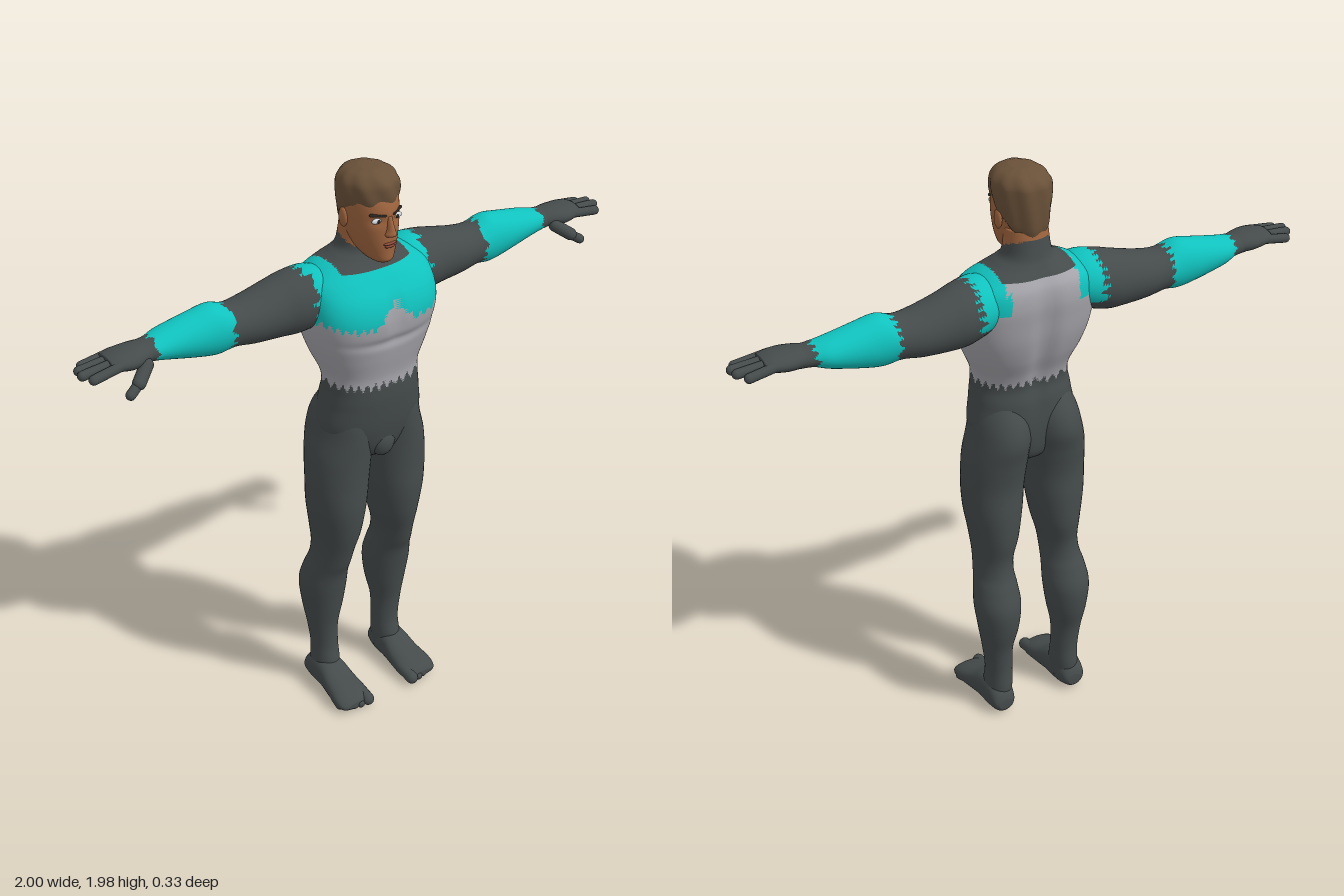
import * as THREE from 'three';

const mat = (name, color) => Object.assign(new THREE.MeshStandardMaterial({ color }), { name });
const suit = mat('charcoal suit', 0x454b4b);
const teal = mat('teal panel', 0x10c2be);
const grey = mat('light grey panel', 0xa3a3a9);
const skin = mat('skin', 0xa0653f);
const hair = mat('brown hair', 0x6a5139);
const white = mat('eye white', 0xd4dade);
const dark = mat('dark brow', 0x2a2420);
const lip = mat('lips', 0x8a4a38);

const AXES = { x: ['z', 'y'], y: ['x', 'z'], z: ['y', 'x'] };
const gauss = (v, w) => Math.exp(-(v * v) / (w * w));
const jag = (u) => Math.abs(u - Math.floor(u) - 0.5) * 2;

// Smooth skin through cross-sections [t, aMin, aMax, bMin, bMax, squareness] along an axis
function loft(axis, keys, { seg = 32, steps = 6, deform } = {}) {
  const [A, B] = AXES[axis], pos = [], idx = [];
  const key = (i) => keys[Math.max(0, Math.min(keys.length - 1, i))];
  const rings = (keys.length - 1) * steps + 1;
  const put = (t, a, b) => {
    const v = new THREE.Vector3();
    v[axis] = t; v[A] = a; v[B] = b;
    if (deform) deform(v);
    pos.push(v.x, v.y, v.z);
  };
  const ends = [];
  for (let r = 0; r < rings; r++) {
    const k = Math.min(keys.length - 2, Math.floor(r / steps)), f = r / steps - k;
    const at = (c, d = 0) => {
      const [p, q, s, u] = [key(k - 1), key(k), key(k + 1), key(k + 2)].map((e) => e[c] ?? d);
      return q + 0.5 * f * (s - p + f * (2 * p - 5 * q + 4 * s - u + f * (3 * (q - s) + u - p)));
    };
    const [t, a0, a1, b0, b1] = [0, 1, 2, 3, 4].map((c) => at(c)), e = 2 / at(5, 2);
    const pw = (v) => Math.sign(v) * Math.abs(v) ** e;
    for (let i = 0; i < seg; i++) {
      const th = (i / seg) * Math.PI * 2;
      put(t, (a0 + a1) / 2 + ((a1 - a0) / 2) * pw(Math.cos(th)), (b0 + b1) / 2 + ((b1 - b0) / 2) * pw(Math.sin(th)));
      if (r < rings - 1) {
        const p = r * seg + i, n = r * seg + ((i + 1) % seg);
        idx.push(p, p + seg, n, n, p + seg, n + seg);
      }
    }
    if (r === 0 || r === rings - 1) ends.push([t, (a0 + a1) / 2, (b0 + b1) / 2]);
  }
  ends.forEach((c) => put(...c));
  const c0 = rings * seg, last = c0 - seg;
  for (let i = 0; i < seg; i++) {
    const n = (i + 1) % seg;
    idx.push(c0, i, n, c0 + 1, last + n, last + i);
  }
  const g = new THREE.BufferGeometry();
  g.setAttribute('position', new THREE.Float32BufferAttribute(pos, 3));
  g.setIndex(idx);
  g.computeVertexNormals();
  return g;
}

// Sorts faces into material groups with a rule on the face centre
function paint(g, count, rule) {
  const p = g.attributes.position, old = g.index.array, sets = Array.from({ length: count }, () => []);
  for (let i = 0; i < old.length; i += 3) {
    const t = [old[i], old[i + 1], old[i + 2]];
    const mid = (f) => t.reduce((s, v) => s + p[f](v), 0) / 3;
    sets[rule(mid('getX'), mid('getY'), mid('getZ'))].push(...t);
  }
  g.setIndex(sets.flat());
  let start = 0;
  sets.forEach((s, i) => { g.addGroup(start, s.length, i); start += s.length; });
  return g;
}

// Rounded finger-like rod between two points
function rod(a, b, r) {
  const p = new THREE.Vector3(...a), q = new THREE.Vector3(...b), d = q.clone().sub(p);
  const g = new THREE.CapsuleGeometry(r, d.length(), 6, 14);
  g.applyQuaternion(new THREE.Quaternion().setFromUnitVectors(new THREE.Vector3(0, 1, 0), d.normalize()));
  return g.translate(...p.add(q).multiplyScalar(0.5).toArray());
}

const blob = (x, y, z, rx, ry, rz) => new THREE.SphereGeometry(1, 20, 14).scale(rx, ry, rz).translate(x, y, z);

function mirror(g) {
  const m = g.clone().scale(-1, 1, 1), ix = m.index.array;
  for (let i = 0; i < ix.length; i += 3) [ix[i], ix[i + 1]] = [ix[i + 1], ix[i]];
  return m;
}

export function createModel() {
  const model = new THREE.Group();
  model.name = 'standingMan';
  const add = (name, g, m) => {
    const mesh = new THREE.Mesh(g, m);
    mesh.name = name;
    model.add(mesh);
  };
  const pair = (name, g, m) => {
    add('left' + name, g, m);
    add('right' + name, mirror(g), m);
  };

  // Torso and neck, with spine groove, chest line and pectoral crease
  const torso = loft('y', [
    [0.97, -0.05, 0.05, -0.06, 0.06], [1.01, -0.12, 0.12, -0.1, 0.1],
    [1.1, -0.183, 0.183, -0.115, 0.124, 2.2], [1.2, -0.172, 0.172, -0.113, 0.137, 2.3],
    [1.26, -0.163, 0.163, -0.102, 0.139, 2.3], [1.31, -0.168, 0.168, -0.112, 0.137, 2.3],
    [1.38, -0.197, 0.197, -0.14, 0.148, 2.4], [1.45, -0.217, 0.217, -0.158, 0.158, 2.6],
    [1.52, -0.225, 0.225, -0.166, 0.162, 2.8], [1.58, -0.223, 0.223, -0.17, 0.145, 2.8],
    [1.63, -0.21, 0.21, -0.162, 0.11, 2.6], [1.665, -0.165, 0.165, -0.14, 0.08, 2.3],
    [1.69, -0.112, 0.112, -0.122, 0.062], [1.72, -0.079, 0.079, -0.108, 0.045], [1.8, -0.07, 0.07, -0.09, 0.035],
  ], {
    seg: 112, steps: 10,
    deform: (v) => {
      const { x, y } = v;
      if (v.z < 0) v.z += 0.02 * gauss(x, 0.035) * gauss(y - 1.42, 0.22);
      else {
        v.z -= 0.012 * gauss(x, 0.02) * gauss(y - 1.53, 0.07);
        v.z -= 0.008 * gauss(y - 1.44 - 0.3 * x * x, 0.015) * gauss(x, 0.15);
      }
    },
  });
  add('torso', paint(torso, 4, (x, y, z) => {
    const w = Math.abs(x), tooth = jag((x + z * 0.7) * 32);
    if (y > 1.735 - 0.4 * z) return 3;
    if (y < 1.265 + 0.03 * tooth) return 0;
    if (y > 1.662 && w < 0.13) return 0;
    const edge = w < 0.07 ? 1.585 - w : 1.515 + 0.3 * Math.max(0, w - 0.14);
    if (z > -0.03 && y > edge - 0.025 * tooth - Math.min(0, z) * 1.5) return 1;
    if (w > 0.115 + 0.02 * tooth && y > 1.57) return 1;
    return 2;
  }), [suit, teal, grey, skin]);
  add('groin', blob(0, 1.04, 0.088, 0.045, 0.055, 0.035), suit);

  // Arms with teal shoulder edge and forearm
  const arm = loft('x', [
    [0.1, -0.12, 0.05, 1.52, 1.645], [0.18, -0.15, 0.06, 1.485, 1.672], [0.25, -0.159, 0.048, 1.466, 1.666],
    [0.31, -0.155, 0.03, 1.465, 1.652], [0.4, -0.149, 0.018, 1.471, 1.63], [0.47, -0.14, 0.008, 1.481, 1.623],
    [0.53, -0.136, 0.004, 1.473, 1.641], [0.6, -0.135, 0, 1.486, 1.63], [0.7, -0.128, -0.008, 1.513, 1.61],
    [0.75, -0.11, -0.01, 1.528, 1.6], [0.8, -0.105, -0.012, 1.533, 1.597],
  ], { seg: 48, steps: 8 });
  pair('Arm', paint(arm, 2, (x, y, z) => {
    const tooth = jag((y + z) * 28);
    if (x > 0.475 + 0.025 * tooth && x < 0.735 + 0.02 * tooth) return 1;
    return x < 0.2 + 0.035 * tooth && y > 1.53 ? 1 : 0;
  }), [suit, teal]);

  // Hands
  pair('Palm', loft('x', [
    [0.75, -0.1, -0.015, 1.535, 1.595], [0.79, -0.108, 0, 1.534, 1.6], [0.83, -0.112, 0.012, 1.534, 1.6],
    [0.87, -0.11, 0.01, 1.542, 1.597], [0.9, -0.1, 0, 1.55, 1.59],
  ], { seg: 24 }), suit);
  const tips = [0.955, 0.98, 0.985, 0.965];
  tips.forEach((tip, i) => {
    const z = -0.093 + i * 0.029;
    pair('Finger' + (i + 1), rod([0.86, 1.572, z], [tip, 1.566 - Math.abs(i - 1.5) * 0.006, z * 1.08 + 0.004], 0.0155), suit);
  });
  pair('Thumb', rod([0.79, 1.548, -0.005], [0.835, 1.515, 0.025], 0.021), suit);
  pair('ThumbTip', rod([0.83, 1.517, 0.022], [0.87, 1.491, 0.034], 0.016), suit);

  // Legs
  pair('Leg', loft('y', [
    [0.04, 0.09, 0.184, -0.125, -0.01], [0.1, 0.086, 0.18, -0.128, -0.005], [0.17, 0.086, 0.179, -0.124, -0.018],
    [0.26, 0.084, 0.19, -0.132, -0.014], [0.35, 0.066, 0.204, -0.154, 0.002], [0.44, 0.056, 0.214, -0.16, 0.018],
    [0.51, 0.06, 0.205, -0.138, 0.032], [0.56, 0.064, 0.194, -0.118, 0.052], [0.62, 0.06, 0.19, -0.112, 0.07],
    [0.7, 0.04, 0.198, -0.124, 0.092], [0.8, 0.022, 0.214, -0.125, 0.105], [0.9, 0.01, 0.22, -0.12, 0.106],
    [1.0, 0, 0.214, -0.134, 0.11], [1.08, -0.002, 0.194, -0.148, 0.114], [1.15, 0.004, 0.176, -0.13, 0.112],
    [1.22, 0.03, 0.145, -0.08, 0.09],
  ], { seg: 40 }), suit);

  // Feet
  pair('Foot', loft('z', [
    [-0.14, 0.02, 0.06, 0.115, 0.165], [-0.125, 0.006, 0.09, 0.1, 0.182], [-0.08, 0, 0.115, 0.09, 0.188, 2.5],
    [-0.02, 0, 0.114, 0.085, 0.192, 2.4], [0.04, 0, 0.084, 0.079, 0.2, 2.4], [0.1, 0, 0.063, 0.075, 0.208, 2.4],
    [0.135, 0.004, 0.048, 0.082, 0.202], [0.148, 0.015, 0.035, 0.1, 0.185],
  ], { seg: 32 }), suit);
  [0.097, 0.127, 0.15, 0.172, 0.192].forEach((x, i) => {
    const r = i ? 0.0155 : 0.022;
    pair('Toe' + (i + 1), rod([x, r + 0.015, 0.08], [x, r + 0.003, 0.143 - i * i * 0.0022], r), suit);
  });

  // Head with eye hollows and jaw
  add('head', loft('y', [
    [1.694, -0.026, 0.026, 0.05, 0.11], [1.704, -0.04, 0.04, 0.0, 0.12], [1.73, -0.057, 0.057, -0.05, 0.122],
    [1.765, -0.07, 0.07, -0.075, 0.124], [1.81, -0.079, 0.079, -0.085, 0.124], [1.86, -0.083, 0.083, -0.09, 0.122],
    [1.91, -0.08, 0.08, -0.085, 0.105], [1.955, -0.04, 0.04, -0.04, 0.06],
  ], {
    seg: 56,
    deform: (v) => { if (v.z > 0.06) v.z -= 0.008 * gauss(Math.abs(v.x) - 0.035, 0.022) * gauss(v.y - 1.838, 0.015); },
  }), skin);
  add('nose', loft('y', [
    [1.783, -0.012, 0.012, 0.1, 0.128], [1.793, -0.019, 0.019, 0.1, 0.146], [1.81, -0.013, 0.013, 0.1, 0.143],
    [1.85, -0.008, 0.008, 0.1, 0.127],
  ], { seg: 16 }), skin);
  add('upperLip', blob(0, 1.761, 0.122, 0.024, 0.005, 0.007), lip);
  add('lowerLip', blob(0, 1.752, 0.122, 0.019, 0.005, 0.007), lip);
  pair('Eye', blob(0.036, 1.839, 0.106, 0.021, 0.009, 0.007), white);
  pair('Iris', blob(0.035, 1.838, 0.111, 0.006, 0.006, 0.004), dark);
  pair('Brow', rod([0.015, 1.854, 0.117], [0.056, 1.859, 0.099], 0.005), dark);
  pair('Ear', blob(0.084, 1.825, -0.004, 0.01, 0.032, 0.02), skin);

  // Swept-up hair, lower at the nape
  add('hair', loft('y', [
    [1.872, -0.081, 0.081, -0.09, 0.104], [1.885, -0.088, 0.088, -0.098, 0.112], [1.915, -0.093, 0.093, -0.102, 0.114],
    [1.945, -0.088, 0.088, -0.095, 0.11], [1.968, -0.066, 0.066, -0.07, 0.09], [1.98, -0.03, 0.03, -0.025, 0.055],
  ], {
    seg: 72,
    deform: (v) => {
      const wave = 1 + 0.025 * Math.sin(Math.atan2(v.x, v.z) * 9 + v.y * 40);
      v.x *= wave;
      v.z *= wave;
      if (v.y < 1.93) v.y -= (1.93 - v.y) * THREE.MathUtils.clamp((0.03 - v.z) * 14, 0, 1.6);
    },
  }), hair);

  return model;
}
